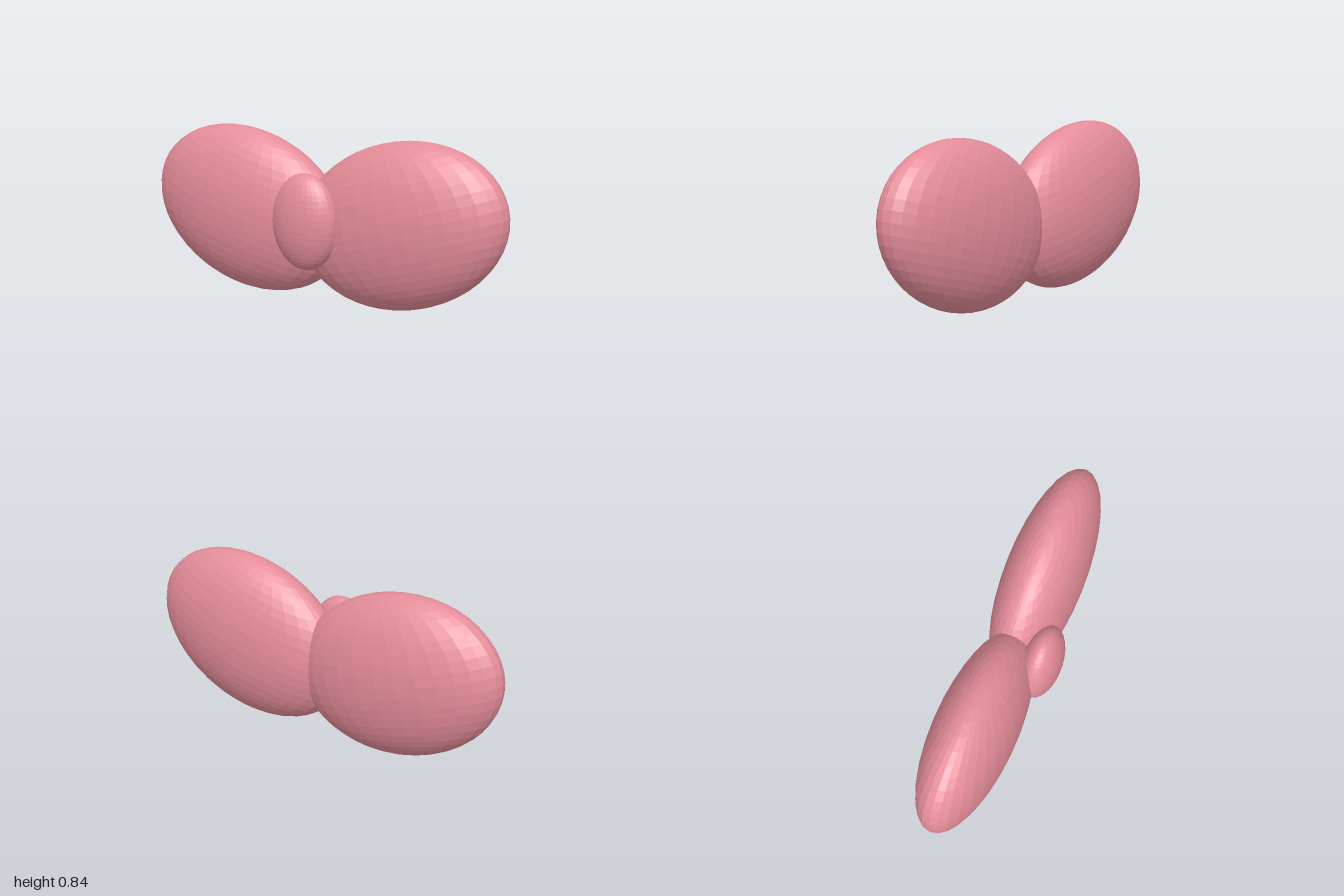
import * as THREE from 'three';

export function createModel() {
  const bow = new THREE.Group();
  bow.name = 'bow';
  const pink = new THREE.MeshStandardMaterial({ color: 0xe58d9a, flatShading: true });
  pink.name = 'pink';
  const ball = new THREE.SphereGeometry(1, 32, 24);

  const ellipsoid = (name, position, radii, tilt = 0) => {
    const mesh = new THREE.Mesh(ball, pink);
    mesh.name = name;
    mesh.position.set(...position);
    mesh.scale.set(...radii);
    mesh.rotation.z = tilt;
    bow.add(mesh);
  };

  // Two flattened loops, tilted upwards and meeting in the middle
  for (const [name, side] of [['leftLoop', 1], ['rightLoop', -1]]) {
    ellipsoid(name, [side * 0.44, 0.422, -0.031], [0.57, 0.408, 0.2], side * 0.27);
  }

  // Knot in front
  ellipsoid('knot', [0, 0.424, 0.131], [0.18, 0.241, 0.1]);

  return bow;
}
